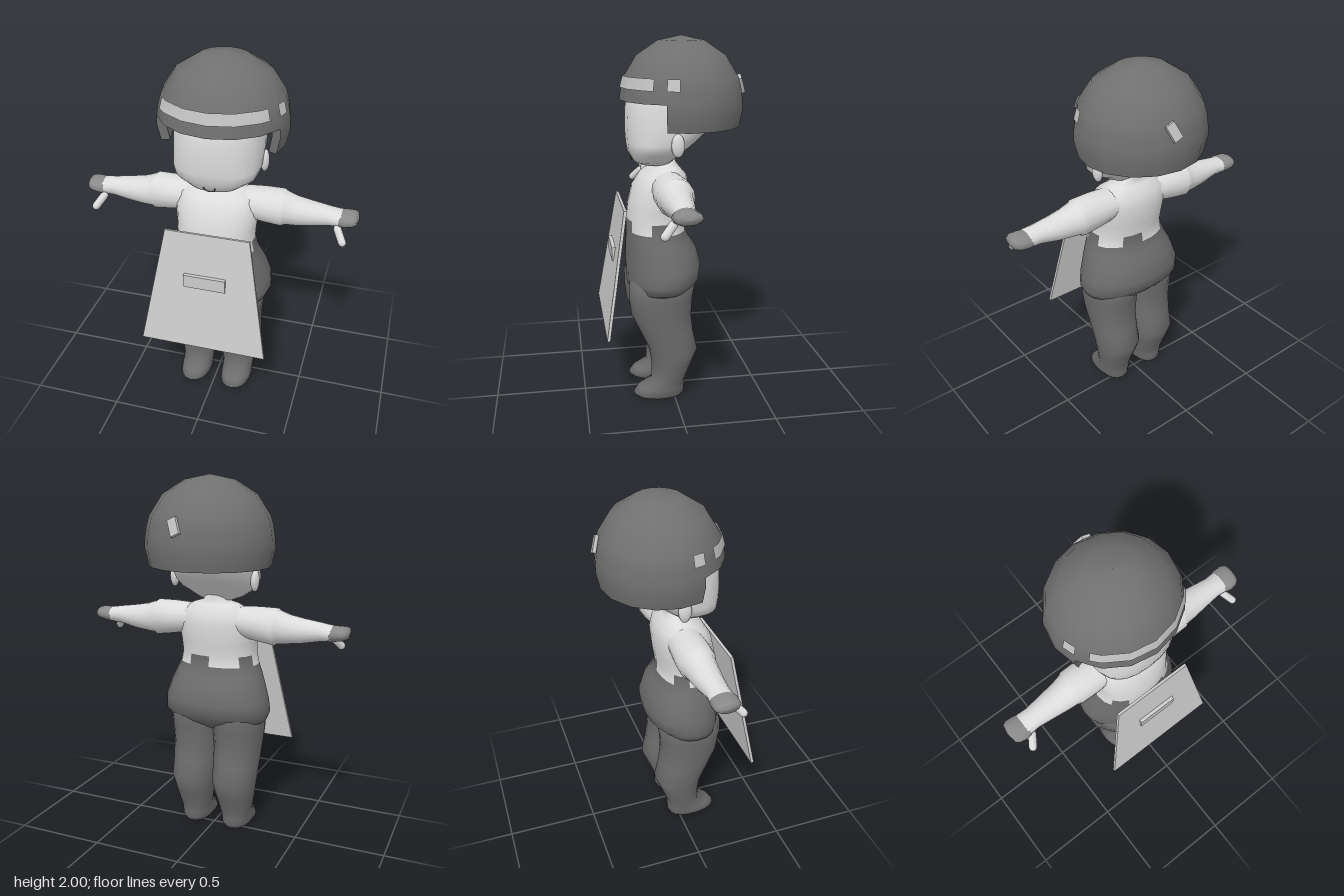
import * as THREE from 'three';
import { toCreasedNormals } from 'three/addons/utils/BufferGeometryUtils.js';

const material = (name, color, side = THREE.FrontSide) => {
  const m = new THREE.MeshStandardMaterial({ color, side });
  m.name = name;
  return m;
};

// Build a closed tube from rings; point(row, angle) gives [x, y, z]; keep(i, j) picks the cells shown.
function loft(rows, cols, point, keep = () => true) {
  const pos = [], all = [], shown = [];
  for (const row of rows)
    for (let j = 0; j < cols; j++) pos.push(...point(row, (j / cols) * Math.PI * 2));
  for (let i = 0; i < rows.length - 1; i++)
    for (let j = 0; j < cols; j++) {
      const k = (j + 1) % cols;
      const a = i * cols + j, b = i * cols + k, c = b + cols, d = a + cols;
      const cell = [a, b, c, a, c, d];
      all.push(...cell);
      if (keep(i, j)) shown.push(...cell);
    }
  const g = new THREE.BufferGeometry();
  g.setAttribute('position', new THREE.Float32BufferAttribute(pos, 3));
  g.setIndex(all);
  g.computeVertexNormals();
  g.setIndex(shown);
  return g;
}

// Rounded-square version of cos / sin
const soft = (v, p) => Math.sign(v) * Math.abs(v) ** (2 / p);

// Upright ring: row = [y, half width, back z, front z]
const upright = (xc = 0, p = 2.2) => ([y, rx, zb, zf], t) => [
  xc + rx * soft(Math.sin(t), p), y, (zb + zf) / 2 + ((zf - zb) / 2) * soft(Math.cos(t), p)];

// Helmet rings: [y, radius]
const HELMET = [[1.53, 0.33], [1.62, 0.35], [1.67, 0.348], [1.735, 0.338], [1.79, 0.322],
  [1.9, 0.25], [1.975, 0.13], [2, 0.001]];
const helmetPoint = ([y, r], t, s = 1) => [r * s * Math.sin(t), y, -0.06 + 0.95 * r * s * Math.cos(t)];

// Thick open-faced shell with a closed rim
function helmetGeometry() {
  const cols = 16, n = HELMET.length, pos = [], idx = [];
  for (const s of [1, 0.86])
    for (const [y, r] of HELMET)
      for (let j = 0; j < cols; j++)
        pos.push(...helmetPoint([s < 1 && y > 1.7 ? 1.7 + (y - 1.7) * s : y, r], (j / cols) * Math.PI * 2, s));
  const inner = n * cols;
  const keep = (i, j) => i >= 2 || (i >= 0 && j >= 3 && j < 13);
  const wall = (p, q) => idx.push(q, p, p + inner, q, p + inner, q + inner);
  for (let i = 0; i < n - 1; i++)
    for (let j = 0; j < cols; j++) {
      if (!keep(i, j)) continue;
      const k = (j + 1) % cols;
      const a = i * cols + j, b = i * cols + k, c = b + cols, d = a + cols;
      idx.push(a, b, c, a, c, d);
      idx.push(...[a, c, b, a, d, c].map(v => v + inner));
      if (!keep(i - 1, j)) wall(a, b);
      if (!keep(i, k)) wall(b, c);
      if (!keep(i, (j + cols - 1) % cols)) wall(d, a);
    }
  const g = new THREE.BufferGeometry();
  g.setAttribute('position', new THREE.Float32BufferAttribute(pos, 3));
  g.setIndex(idx);
  return toCreasedNormals(g, 0.8);
}

// Thin strip hugging the helmet, through the given angles in degrees from the front
function stripGeometry(degrees) {
  const pos = [], idx = [];
  degrees.forEach((deg, i) => {
    const t = THREE.MathUtils.degToRad(deg);
    pos.push(...helmetPoint([1.735, 0.338], t, 1.02), ...helmetPoint([1.795, 0.322], t, 1.02));
    if (i) {
      const a = 2 * i - 2;
      idx.push(a, a + 2, a + 3, a, a + 3, a + 1);
    }
  });
  const g = new THREE.BufferGeometry();
  g.setAttribute('position', new THREE.Float32BufferAttribute(pos, 3));
  g.setIndex(idx);
  g.computeVertexNormals();
  return g;
}

export function createModel() {
  const model = new THREE.Group();
  const skin = material('pale skin and shirt', 0xdcdcdc, THREE.DoubleSide);
  const dark = material('dark grey helmet', 0x707070);
  const cloth = material('dark grey trousers', 0x6c6c6c, THREE.DoubleSide);
  const board = material('light grey board', 0xcccccc);
  const trim = material('light grey trim', 0xc4c4c4, THREE.DoubleSide);
  const glove = material('mid grey fingers', 0x8a8a8a);
  const add = (name, geometry, mat, x = 0, y = 0, z = 0) => {
    const mesh = new THREE.Mesh(geometry, mat);
    mesh.name = name;
    mesh.position.set(x, y, z);
    model.add(mesh);
    return mesh;
  };

  // Helmet with front band, side marks and a back tag
  add('helmet', helmetGeometry(), dark);
  add('helmetBand', stripGeometry([-55, -45, -22.5, 0, 22.5, 45, 55]), trim);
  add('helmetMarkLeft', stripGeometry([67.5, 79]), trim);
  add('helmetMarkRight', stripGeometry([-79, -67.5]), trim);
  add('helmetTag', new THREE.BoxGeometry(0.05, 0.09, 0.02), trim, 0.055, 1.75, -0.375)
    .rotation.set(0.3, -0.17, -0.4);

  // Head
  add('head', loft([[1.32, 0.001, 0.08, 0.082], [1.322, 0.07, 0.01, 0.15], [1.345, 0.13, -0.01, 0.2],
    [1.4, 0.215, -0.07, 0.232], [1.45, 0.233, -0.13, 0.24], [1.53, 0.237, -0.22, 0.245],
    [1.63, 0.235, -0.25, 0.242], [1.72, 0.22, -0.25, 0.22], [1.8, 0.16, -0.2, 0.15],
    [1.82, 0.001, -0.02, -0.018]], 24, upright(0, 2.4)), skin);
  const smile = add('mouth', new THREE.TorusGeometry(0.03, 0.003, 4, 8, Math.PI), cloth, 0, 1.375, 0.218);
  smile.rotation.set(0.35, 0, Math.PI);

  // Torso: one form, split at a notched waist into trousers and shirt
  const body = [[0.59, 0.001, 0.08, 0.082], [0.6, 0.2, -0.04, 0.19], [0.65, 0.285, -0.11, 0.245],
    [0.7, 0.308, -0.155, 0.25], [0.77, 0.3, -0.165, 0.25], [0.86, 0.272, -0.14, 0.25],
    [0.92, 0.248, -0.1, 0.247], [0.97, 0.227, -0.08, 0.245], [1.03, 0.215, -0.078, 0.243],
    [1.1, 0.218, -0.09, 0.235], [1.2, 0.23, -0.1, 0.21], [1.27, 0.21, -0.085, 0.165],
    [1.315, 0.13, -0.045, 0.1], [1.335, 0.065, -0.032, 0.065], [1.4, 0.06, -0.03, 0.06]];
  const isTrousers = (i, j) => i < 7 || (i === 7 && j % 5 < 2);
  add('hips', loft(body, 24, upright(), isTrousers), cloth);
  add('shirt', loft(body, 24, upright(), (i, j) => !isTrousers(i, j)), skin);

  // Limbs; arm rows are [x, bottom y, top y, back z, front z]
  const arm = [[0.08, 1.15, 1.3, -0.06, 0.12], [0.25, 1.12, 1.31, -0.075, 0.13],
    [0.35, 1.105, 1.31, -0.075, 0.125], [0.365, 1.115, 1.3, -0.065, 0.115],
    [0.42, 1.12, 1.28, -0.055, 0.11], [0.5, 1.13, 1.265, -0.045, 0.1],
    [0.6, 1.15, 1.25, -0.03, 0.09], [0.66, 1.155, 1.24, -0.035, 0.095]];
  const hand = [[0.65, 1.155, 1.238, -0.035, 0.097], [0.68, 1.157, 1.24, -0.042, 0.105],
    [0.72, 1.165, 1.24, -0.042, 0.1], [0.742, 1.175, 1.235, -0.03, 0.085],
    [0.75, 1.2, 1.202, 0.02, 0.022]];
  const leg = [[0, 0.001, 0.08, 0.082], [0.003, 0.075, -0.05, 0.205], [0.025, 0.09, -0.06, 0.23],
    [0.06, 0.09, -0.062, 0.2], [0.1, 0.092, -0.062, 0.125], [0.2, 0.112, -0.1, 0.125],
    [0.29, 0.126, -0.135, 0.14], [0.4, 0.13, -0.11, 0.19], [0.5, 0.135, -0.1, 0.235],
    [0.6, 0.145, -0.105, 0.248], [0.68, 0.145, -0.12, 0.248], [0.75, 0.1, -0.1, 0.2]];
  for (const [side, s] of [['Left', 1], ['Right', -1]]) {
    const sideways = ([x, yb, yt, zb, zf], t) => [s * x,
      (yb + yt) / 2 + ((yt - yb) / 2) * Math.cos(t), (zb + zf) / 2 + ((zf - zb) / 2) * Math.sin(s * t)];
    add('arm' + side, loft(arm, 16, sideways), skin);
    add('hand' + side, loft(hand, 12, sideways), glove);
    const thumb = add('thumb' + side, new THREE.CapsuleGeometry(0.022, 0.075, 3, 8), skin, s * 0.665, 1.135, 0.11);
    thumb.quaternion.setFromUnitVectors(new THREE.Vector3(0, 1, 0),
      new THREE.Vector3(s * 0.45, -0.65, 0.6).normalize());
    add('leg' + side, loft(leg, 18, upright(s * (0.125))), cloth);
    add('ear' + side, new THREE.SphereGeometry(1, 10, 8), skin, s * 0.236, 1.455, -0.005)
      .scale.set(0.024, 0.062, 0.036);
  }

  // Leaning trapezoid board with a small upright plaque
  const outline = new THREE.Shape([[-0.35, -0.34], [0.35, -0.34], [0.23, 0.34], [-0.23, 0.34]]
    .map(([x, y]) => new THREE.Vector2(x, y)));
  add('board', new THREE.ExtrudeGeometry(outline, { depth: 0.016, bevelEnabled: false }).translate(0, 0, -0.008),
    board, 0, 0.785, 0.325).rotation.x = -0.163;
  add('boardPlaque', new THREE.BoxGeometry(0.23, 0.075, 0.03), board, 0, 0.852, 0.321);

  return model;
}
